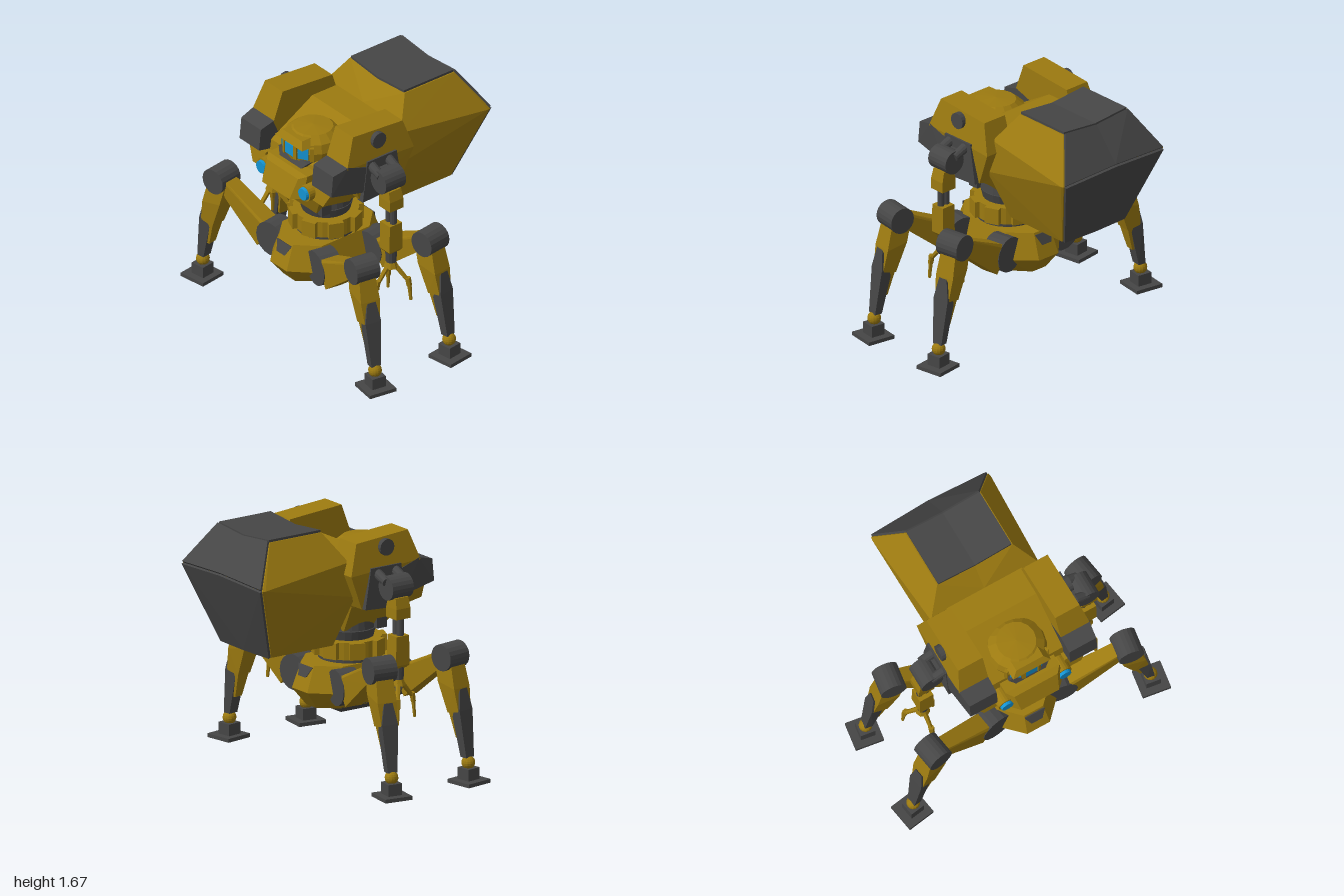
import * as THREE from 'three';
import { ConvexGeometry } from 'three/addons/geometries/ConvexGeometry.js';

const paint = (color) => new THREE.MeshStandardMaterial({ color, flatShading: true, side: THREE.DoubleSide });
const yellow = paint(0x9c7a10), dark = paint(0x464646), blue = paint(0x1493d2);
const V = (x, y, z) => new THREE.Vector3(x, y, z);
const CZ = 0.305; // z of the leg base

function add(parent, name, geometry, material) {
  const mesh = new THREE.Mesh(geometry, material);
  mesh.name = name;
  parent.add(mesh);
  return mesh;
}
// faceted solid around a few corner points
const hull = (p, name, mat, pts) => add(p, name, new ConvexGeometry(pts.map((q) => V(...q))), mat);
const box = (p, name, mat, x, y, z, w, h, d) => {
  const m = add(p, name, new THREE.BoxGeometry(w, h, d), mat);
  m.position.set(x, y, z);
  return m;
};
// round bar between two points
function rod(p, name, mat, a, b, r, r2 = r, sides = 16) {
  const A = V(...a), B = V(...b), d = B.clone().sub(A);
  const m = add(p, name, new THREE.CylinderGeometry(r2, r, d.length(), sides), mat);
  m.position.copy(A).add(B).multiplyScalar(0.5);
  m.quaternion.setFromUnitVectors(V(0, 1, 0), d.normalize());
  return m;
}
const rect = (y, hx, z0, z1) => [[-hx, y, z0], [hx, y, z0], [hx, y, z1], [-hx, y, z1]];
// octagonal level with a narrow nose at both ends
const octagon = (y, hx, hz) => [1, -1].flatMap((s) => [1, -1].flatMap((t) =>
  [[s * hx, y, CZ + t * hz * 0.6], [s * hx * 0.35, y, CZ + t * hz]]));
// profile [z, y, outer x] extruded inwards to x0
const slab = (p, name, mat, x0, profile) =>
  hull(p, name, mat, profile.flatMap(([z, y, x]) => [[x0, y, z], [x, y, z]]));

function makeLeg() {
  const leg = new THREE.Group();
  leg.name = 'leg';
  leg.position.set(0.28, 0, 0.215);
  leg.rotation.y = -0.15;
  const beam = (name, mat, sections) => hull(leg, name, mat,
    sections.flatMap(([u, y, w]) => [[u, y, w], [u, y, -w]]));
  rod(leg, 'hipJoint', dark, [-0.04, 0.58, -0.07], [-0.04, 0.58, 0.07], 0.12);
  beam('thigh', yellow, [[-0.03, 0.65, 0.06], [0.08, 0.48, 0.06], [0.02, 0.65, 0.07],
    [0.36, 0.83, 0.05], [0.37, 0.71, 0.05], [0.44, 0.85, 0.05]]);
  rod(leg, 'kneeJoint', dark, [0.445, 0.815, -0.085], [0.445, 0.815, 0.085], 0.088, 0.088, 20);
  beam('upperShin', yellow, [[0.36, 0.8, 0.06], [0.51, 0.78, 0.06], [0.40, 0.65, 0.07],
    [0.55, 0.62, 0.07], [0.475, 0.45, 0.055], [0.575, 0.47, 0.055]]);
  beam('shinGuard', yellow, [[0.475, 0.47, 0.05], [0.54, 0.47, 0.05], [0.525, 0.29, 0.03], [0.55, 0.29, 0.03]]);
  beam('lowerShin', dark, [[0.5, 0.47, 0.047], [0.588, 0.48, 0.058], [0.565, 0.62, 0.03],
    [0.572, 0.17, 0.035], [0.625, 0.17, 0.035]]);
  const ankle = add(leg, 'ankleBall', new THREE.SphereGeometry(0.045, 14, 10), yellow);
  ankle.position.set(0.608, 0.135, 0);
  box(leg, 'footBlock', dark, 0.61, 0.06, 0, 0.1, 0.085, 0.1);
  box(leg, 'footPad', dark, 0.615, 0.0125, 0, 0.195, 0.025, 0.195);
  return leg;
}

function makeArm() {
  const arm = new THREE.Group();
  arm.name = 'arm';
  const cx = 0.605, cz = 0.255;
  // shoulder housing
  slab(arm, 'shoulder', yellow, 0.27, [[0.445, 1.62, 0.45], [0.035, 1.59, 0.45], [-0.03, 1.385, 0.485],
    [0.07, 1.15, 0.46], [0.4, 1.14, 0.46], [0.52, 1.42, 0.485]]);
  slab(arm, 'shoulderGuard', dark, 0.27, [[0.625, 1.4, 0.47], [0.51, 1.43, 0.485], [0.36, 1.38, 0.49],
    [0.38, 1.2, 0.49], [0.64, 1.25, 0.47]]);
  slab(arm, 'sidePlate', dark, 0.44, [[0.36, 1.42, 0.495], [0.12, 1.42, 0.495], [0.075, 1.15, 0.495], [0.4, 1.13, 0.495]]);
  slab(arm, 'chestGuard', yellow, 0.25, [[0.6, 1.23, 0.42], [0.62, 1.12, 0.36], [0.4, 1.08, 0.36], [0.38, 1.23, 0.45]]);
  rod(arm, 'shoulderCap', dark, [0.4, 1.54, cz], [0.488, 1.54, cz], 0.055);
  // upper arm
  for (const z of [0.18, 0.32])
    rod(arm, 'shoulderPiston', dark, [0.45, 1.39, z], [0.58, 1.34, z], 0.035, 0.03, 12);
  box(arm, 'armAxle', dark, 0.52, 1.3, cz, 0.12, 0.1, 0.12);
  rod(arm, 'elbowDrum', dark, [0.58, 1.3, 0.175], [0.58, 1.3, 0.34], 0.08, 0.08, 20);
  hull(arm, 'upperArm', yellow, [...rect(1.24, 0.04, -0.05, 0.05), ...rect(1.18, 0.04, -0.05, 0.05),
    ...rect(1.17, 0.057, -0.055, 0.055), ...rect(1.1, 0.057, -0.055, 0.055)]).position.set(cx, 0, cz);
  for (const s of [-1, 1])
    rod(arm, 'armPiston', dark, [cx + s * 0.022, 0.95, cz], [cx + s * 0.022, 1.12, cz], 0.023, 0.023, 12);
  hull(arm, 'forearm', yellow, [...rect(0.985, 0.05, -0.05, 0.05), ...rect(0.79, 0.05, -0.055, 0.055),
    ...rect(0.77, 0.035, -0.04, 0.04)]).position.set(cx, 0, cz);
  rod(arm, 'wrist', dark, [cx, 0.69, cz], [cx, 0.78, cz], 0.035, 0.04, 12);
  // three hooked fingers
  rod(arm, 'palm', yellow, [cx, 0.65, cz], [cx, 0.7, cz], 0.05, 0.03, 8);
  for (const a of [90, 210, 322]) {
    const c = Math.cos(a * Math.PI / 180), s = Math.sin(a * Math.PI / 180);
    const at = (r, y) => [cx + r * c, y, cz + r * s];
    rod(arm, 'fingerBase', yellow, at(0.02, 0.67), at(0.11, 0.56), 0.018, 0.014, 6);
    rod(arm, 'fingerMiddle', yellow, at(0.11, 0.58), at(0.12, 0.52), 0.02, 0.018, 6);
    rod(arm, 'fingerTip', yellow, at(0.12, 0.53), at(0.13, 0.415), 0.015, 0.01, 6);
  }
  return arm;
}

// half of the cargo hold, with dark plates on the top and rear
function makeHoldHalf() {
  const half = new THREE.Group();
  half.name = 'cargoHoldHalf';
  const topF = [[0, 1.63, -0.12], [0.28, 1.655, -0.12]], topB = [[0, 1.63, -0.53], [0.28, 1.655, -0.53]];
  const ridge = [[0, 1.41, -0.712], [0.435, 1.39, -0.7]], base = [[0, 0.88, -0.52], [0.27, 0.88, -0.51]];
  hull(half, 'holdBody', yellow, [...topF, ...topB, ...ridge, ...base,
    [0, 0.88, -0.02], [0.27, 0.88, -0.02], [0, 1.22, 0.07], [0.4, 1.22, 0.06],
    [0, 1.5, 0], [0.4, 1.46, 0.01], [0.44, 1.39, -0.68]]);
  const plate = (name, a, b, dy, dz) => {
    const q = [a[0], [a[1][0] - 0.008, a[1][1], a[1][2]], b[0], [b[1][0] - 0.008, b[1][1], b[1][2]]];
    hull(half, name, dark, [...q, ...q.map(([x, y, z]) => [x, y + dy, z + dz])]);
  };
  plate('topPlate', topF, topB, 0.016, 0);
  plate('upperRearPlate', topB, ridge, 0.012, -0.012);
  plate('lowerRearPlate', ridge, base, -0.006, -0.016);
  return half;
}

export function createModel() {
  const model = new THREE.Group();
  model.name = 'walker';

  // leg base
  hull(model, 'pelvis', yellow, [...octagon(0.41, 0.16, 0.3), ...octagon(0.53, 0.24, 0.393), ...octagon(0.7, 0.2, 0.33)]);
  hull(model, 'bellyPlate', dark, [...rect(0.42, 0.17, CZ - 0.18, CZ + 0.19), ...rect(0.362, 0.09, CZ - 0.13, CZ + 0.12)]);
  for (const t of [1, -1])
    hull(model, 'pelvisBadge', dark, [[-0.075, 0.69, CZ + t * 0.345], [0.075, 0.69, CZ + t * 0.345],
      [-0.04, 0.62, CZ + t * 0.375], [0.04, 0.62, CZ + t * 0.375], [0, 0.65, CZ + t * 0.25]]);

  // turning waist
  rod(model, 'waistBase', dark, [0, 0.68, CZ], [0, 0.74, CZ], 0.2, 0.2, 24);
  rod(model, 'waistRing', yellow, [0, 0.725, CZ], [0, 0.84, CZ], 0.215, 0.215, 24);
  for (let i = 0; i < 8; i++) {
    const a = (i + 0.5) * Math.PI / 4;
    box(model, 'waistBlock', yellow, 0.215 * Math.sin(a), 0.785, CZ + 0.215 * Math.cos(a), 0.1, 0.11, 0.05).rotation.y = a;
  }
  rod(model, 'neckRing', dark, [0, 0.84, CZ], [0, 0.9, CZ], 0.16, 0.175, 24);
  rod(model, 'neckCollar', dark, [0, 0.905, CZ], [0, 0.99, CZ], 0.175, 0.165, 24);

  // torso
  hull(model, 'belly', yellow, [...rect(0.91, 0.13, 0.17, 0.49), ...rect(1.11, 0.28, 0.12, 0.58), ...rect(1.2, 0.28, 0.1, 0.58)]);
  hull(model, 'chest', yellow, [...rect(1.15, 0.29, 0.06, 0.56), ...rect(1.3, 0.29, 0.02, 0.54), ...rect(1.5, 0.28, 0, 0.2)]);
  hull(model, 'snout', yellow, [...rect(1.27, 0.2, 0.4, 0.62), ...rect(1.25, 0.16, 0.4, 0.665),
    ...rect(1.11, 0.14, 0.4, 0.72), ...rect(1.12, 0.2, 0.4, 0.66)]);

  // head
  const dome = add(model, 'headDome', new THREE.LatheGeometry(
    [[0, 1.25], [0.17, 1.25], [0.185, 1.32], [0.2, 1.38], [0.185, 1.44], [0.13, 1.485], [0, 1.495]]
      .map(([r, y]) => new THREE.Vector2(r, y)), 16), yellow);
  dome.position.z = 0.41;
  hull(model, 'brow', yellow, [...rect(1.475, 0.1, 0.4, 0.585), ...rect(1.43, 0.14, 0.4, 0.615)]);
  for (const a of [-0.55, 0, 0.55])
    box(model, 'visor', blue, 0.185 * Math.sin(a), 1.38, 0.41 + 0.185 * Math.cos(a), a ? 0.07 : 0.085, 0.08, 0.03).rotation.y = a;
  for (const a of [-0.85, -0.28, 0.28, 0.85])
    box(model, 'visorFrame', yellow, 0.19 * Math.sin(a), 1.38, 0.41 + 0.19 * Math.cos(a), 0.025, 0.1, 0.04).rotation.y = a;
  hull(model, 'jaw', dark, [...rect(1.325, 0.15, 0.4, 0.575), ...rect(1.28, 0.11, 0.4, 0.6)]);

  // mirrored parts
  for (const s of [1, -1]) {
    const side = new THREE.Group();
    side.name = s > 0 ? 'leftSide' : 'rightSide';
    side.scale.x = s;
    model.add(side);
    side.add(makeArm(), makeHoldHalf());
    box(side, 'bellyStrut', dark, 0.155, 0.955, 0.44, 0.04, 0.11, 0.08);
    rod(side, 'lampHousing', yellow, [0.215, 1.165, 0.5], [0.215, 1.165, 0.655], 0.06, 0.056, 20);
    rod(side, 'lamp', blue, [0.215, 1.165, 0.64], [0.215, 1.165, 0.675], 0.048, 0.042, 20);
    for (const t of [1, -1]) {
      const corner = new THREE.Group();
      corner.name = t > 0 ? 'frontLeg' : 'rearLeg';
      corner.position.z = CZ;
      corner.scale.z = t;
      corner.add(makeLeg());
      side.add(corner);
    }
  }
  return model;
}
